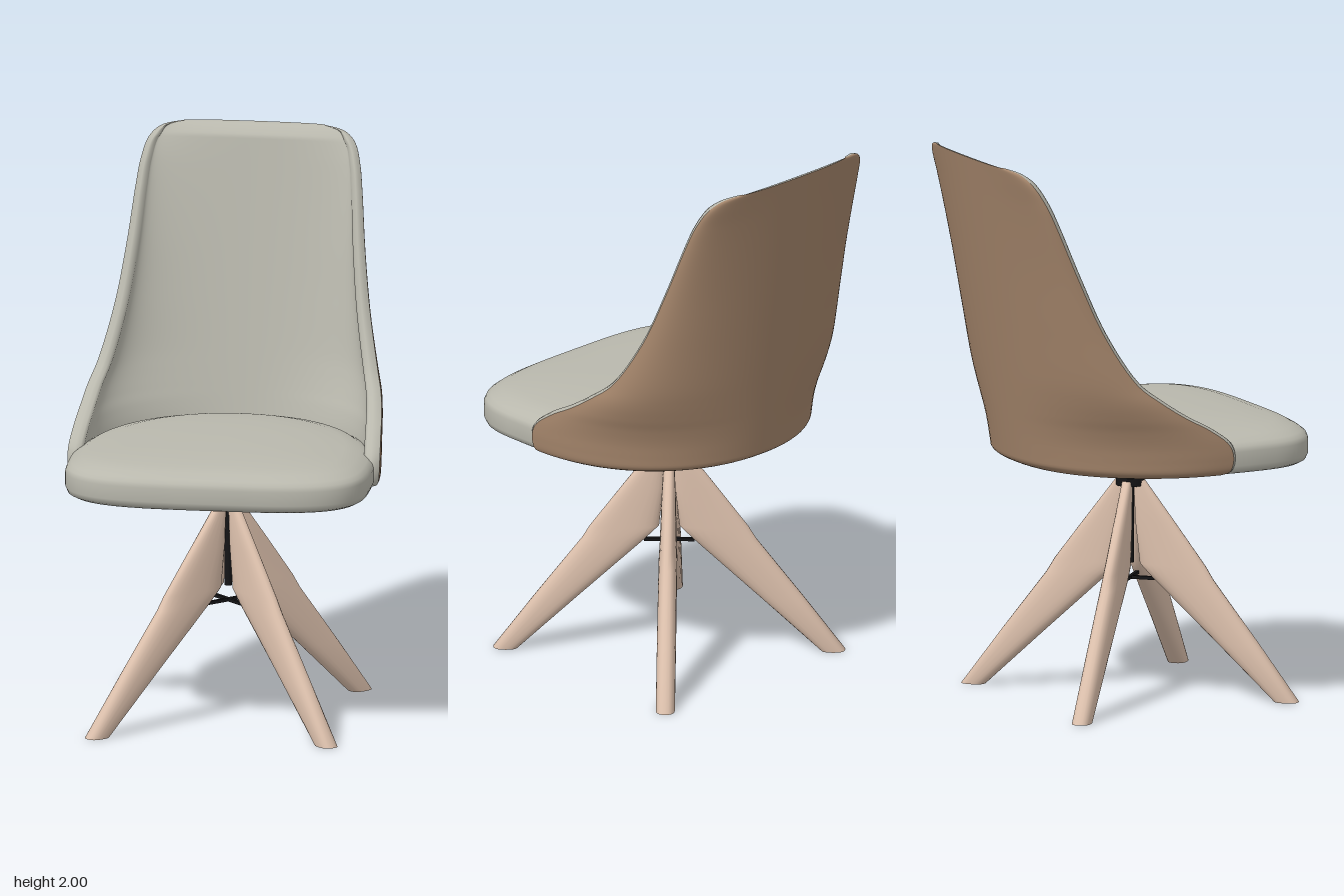
import * as THREE from 'three';

const mat = (name, color, side = THREE.FrontSide) => {
  const m = new THREE.MeshStandardMaterial({ color, side });
  m.name = name;
  return m;
};

// Skin a list of rows (bottom to top) of Vector3; closed rows wrap around.
function skin(rows, closed) {
  const n = rows[0].length, pos = [], idx = [];
  rows.forEach(r => r.forEach(p => pos.push(p.x, p.y, p.z)));
  for (let i = 0; i < rows.length - 1; i++) {
    for (let j = 0; j < (closed ? n : n - 1); j++) {
      const k = (j + 1) % n, a = i * n + j, b = i * n + k;
      idx.push(a, a + n, b, b, a + n, b + n);
    }
  }
  const g = new THREE.BufferGeometry();
  g.setAttribute('position', new THREE.Float32BufferAttribute(pos, 3));
  g.setIndex(idx);
  g.computeVertexNormals();
  return g;
}

const spow = (v, e) => Math.sign(v) * Math.pow(Math.abs(v), e);
const lerp = THREE.MathUtils.lerp;

// Seat cushion: squarish front, rounded back, domed top
function seatGeometry() {
  const profile = [[0, .87], [.6, .87], [.955, .87], [.985, .88], [1, .9], [1, .95], [.988, .968],
    [.96, .98], [.9, .998], [.8, 1.01], [.6, 1.019], [.35, 1.024], [0, 1.025]];
  return skin(profile.map(([s, y]) => Array.from({ length: 96 }, (_, j) => {
    const a = j / 96 * Math.PI * 2, front = Math.sin(a) > 0;
    // blend the exponent so both halves share their widest points
    const e = 2 / (front ? 3.5 : 2.1);
    const x = .542 * spow(Math.cos(a), e);
    const z = (front ? .35 : .63) * spow(Math.sin(a), e);
    return new THREE.Vector3(x * s, y, .1 + (.15 + z) * s);
  })), true);
}

// Backrest shell: U-shaped section at each height, wrapping into low arms
function shellGeometries() {
  // half width, height, front edge z
  const edge = new THREE.CatmullRomCurve3([
    [.525, .87, .15], [.55, .885, .17], [.558, .93, .18], [.558, .98, .165], [.55, 1.04, .09],
    [.54, 1.09, 0], [.525, 1.15, -.09], [.5, 1.22, -.175], [.457, 1.4, -.285], [.427, 1.6, -.37],
    [.405, 1.8, -.45], [.393, 1.88, -.485], [.37, 1.95, -.525], [.33, 1.985, -.553], [.25, 2, -.58],
  ].map(p => new THREE.Vector3(...p)));
  const outer = [], inner = [], levels = 84, n = 48;
  for (let i = 0; i <= levels; i++) {
    const { x: w, y, z: zf } = edge.getPoint(i / levels);
    const h = THREE.MathUtils.clamp((y - .87) / 1.13, 0, 1);
    const zb = -.42 - h * .18 + .04 * Math.max(0, 1 - (y - .87) / .03) ** 2;
    // padding thins to nothing at the top and bottom rims
    const pad = Math.min(1, Math.sqrt(Math.max(0, 2 - y) / .04), Math.max(0, y - .87) / .02);
    const tSide = lerp(.06, .035, h) * pad, tBack = lerp(.085, .05, h) * pad;
    const arc = (a, ts, tb) => new THREE.Vector3(
      (w - ts) * spow(Math.sin(a), .93), y, zb + tb + (zf - zb - tb) * (1 - Math.cos(a)));
    const out = [], inn = [];
    for (let j = 0; j <= n; j++) {
      const a = (j / n - .5) * Math.PI;
      out.push(arc(a, 0, 0));
      inn.push(arc(-a, tSide, tBack));
    }
    // rounded lip joining the outer and inner faces
    const lip = (s, c) => new THREE.Vector3(s * (w - tSide * c), y,
      zf + .022 * pad * Math.sin(c * Math.PI));
    outer.push(out);
    inner.push([out[n], lip(1, .2), lip(1, .5), lip(1, .8), ...inn,
      lip(-1, .8), lip(-1, .5), lip(-1, .2), out[0]]);
  }
  return [skin(outer, false), skin(inner, false)];
}

// Splayed wooden leg running outwards along +x
function legGeometry() {
  // height, centre distance, half depth, half thickness
  const sections = [[0, .58, 0, 0], [0, .58, .044, .034], [.2, .4, .077, .034], [.42, .198, .112, .033],
    [.47, .158, .122, .03], [.62, .094, .074, .025], [.77, .034, .02, .018], [.77, .034, 0, 0]];
  return skin(sections.map(([y, r, a, b]) => Array.from({ length: 24 }, (_, j) => {
    const t = j / 24 * Math.PI * 2;
    return new THREE.Vector3(r + a * spow(Math.cos(t), .8), y, b * spow(Math.sin(t), .8));
  })), true);
}

export function createModel() {
  const group = new THREE.Group();
  group.name = 'swivelChair';
  const grey = mat('greyFabric', 0xb9b8ad);
  const greyShell = mat('greyPadding', 0xb9b8ad, THREE.DoubleSide);
  const brown = mat('brownFabric', 0xa3846a, THREE.DoubleSide);
  const wood = mat('paleWood', 0xdcc0ac);
  const black = mat('blackMetal', 0x141416);
  const add = (name, geo, m, parent = group) => {
    const mesh = new THREE.Mesh(geo, m);
    mesh.name = name;
    parent.add(mesh);
    return mesh;
  };

  add('seatCushion', seatGeometry(), grey);
  const [outer, inner] = shellGeometries();
  add('backrestOuter', outer, brown);
  add('backrestPadding', inner, greyShell);

  // Swivel base, set slightly forward
  const base = new THREE.Group();
  base.name = 'base';
  base.position.z = .06;
  group.add(base);
  const legGeo = legGeometry();
  for (let i = 0; i < 4; i++) {
    add('leg', legGeo, wood, base).rotation.y = Math.PI / 4 + i * Math.PI / 2;
  }

  // Mounting plate with a tapered square hub
  add('mountingPlate', new THREE.BoxGeometry(.3, .01, .2), black, base).position.y = .864;
  add('mountingPlateCross', new THREE.BoxGeometry(.2, .01, .3), black, base).position.y = .863;
  const hub = new THREE.CylinderGeometry(.125, .06, .038, 4);
  hub.rotateY(Math.PI / 4);
  add('swivelHub', hub, black, base).position.y = .841;
  add('swivelNeck', new THREE.CylinderGeometry(.04, .018, .045, 24), black, base).position.y = .802;
  add('collar', new THREE.CylinderGeometry(.05, .05, .03, 24), black, base).position.y = .766;
  add('post', new THREE.CylinderGeometry(.013, .013, .31, 16), black, base).position.y = .625;

  // Thin crossed braces between the legs
  for (const s of [-1, 1]) {
    const brace = add('brace', new THREE.BoxGeometry(.18, .012, .012), black, base);
    brace.position.y = .417;
    brace.rotation.y = s * Math.PI / 4;
  }
  return group;
}
